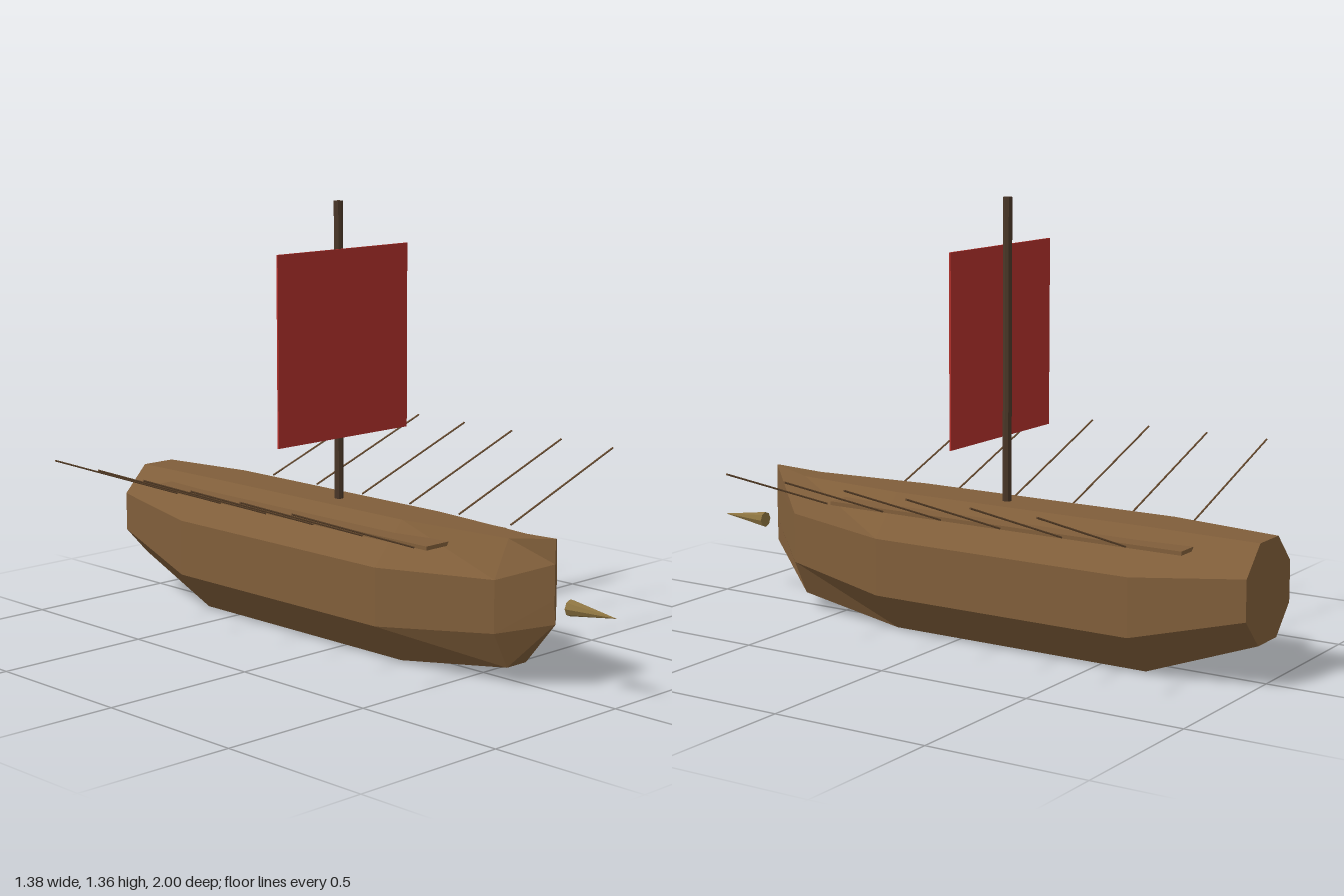
import * as THREE from 'three';

const mat = (name, color, extra = {}) => {
  const m = new THREE.MeshStandardMaterial({ color, flatShading: true, ...extra });
  m.name = name;
  return m;
};

// Eight-sided hull skinned through cross-sections, capped at both ends
function hullGeometry() {
  // z, centre height, half width, half height (stern to bow)
  const sections = [
    [-1, 0.275, 0.14, 0.15],
    [-0.65, 0.217, 0.195, 0.217],
    [0.24, 0.217, 0.195, 0.217],
    [0.63, 0.2425, 0.1, 0.1925],
    [0.775, 0.325, 0.004, 0.126],
  ];
  const sides = 8, pos = [], idx = [];
  const k = 1 / Math.cos(Math.PI / sides);
  for (const [z, cy, rx, ry] of sections) {
    for (let j = 0; j < sides; j++) {
      const a = ((j + 0.5) / sides) * Math.PI * 2;
      pos.push(Math.cos(a) * rx * k, cy + Math.sin(a) * ry * k, z);
    }
  }
  const last = (sections.length - 1) * sides;
  for (let j = 0; j < sides; j++) {
    const n = (j + 1) % sides;
    for (let r = 0; r < last; r += sides) {
      idx.push(r + j, r + n, r + sides + n, r + j, r + sides + n, r + sides + j);
    }
    if (j > 0 && j < sides - 1) {
      idx.push(0, n, j, last, last + j, last + n);
    }
  }
  const g = new THREE.BufferGeometry();
  g.setAttribute('position', new THREE.Float32BufferAttribute(pos, 3));
  g.setIndex(idx);
  const flat = g.toNonIndexed();
  flat.computeVertexNormals();
  return flat;
}

export function createModel() {
  const ship = new THREE.Group();
  ship.name = 'galley';
  const wood = mat('hull wood', 0x805e3a);
  const darkWood = mat('mast wood', 0x4a3728);
  const oarWood = mat('oar wood', 0x6b4e32);
  const bronze = mat('bronze', 0x8c7340);
  const cloth = mat('red sailcloth', 0xb0302a);

  const add = (name, geometry, material, x, y, z) => {
    const m = new THREE.Mesh(geometry, material);
    m.name = name;
    m.position.set(x, y, z);
    ship.add(m);
    return m;
  };

  add('hull', hullGeometry(), wood, 0, 0, 0);

  // Mast and square sail
  add('mast', new THREE.CylinderGeometry(0.014, 0.014, 0.95, 8), darkWood, 0, 0.885, -0.115);
  add('sail', new THREE.BoxGeometry(0.55, 0.585, 0.006), cloth, 0, 0.9225, -0.092);

  // Ram pointing forward, ahead of the bow
  const ram = add('ram', new THREE.ConeGeometry(0.025, 0.17, 8), bronze, 0, 0.26, 0.915);
  ram.rotation.x = Math.PI / 2;

  // Outriggers and oars, mirrored on both sides
  const outrigger = new THREE.BoxGeometry(0.093, 0.012, 1.24);
  const inner = new THREE.Vector2(0.21, 0.4), outer = new THREE.Vector2(0.69, 0.573);
  const span = outer.clone().sub(inner);
  const oar = new THREE.CylinderGeometry(0.003, 0.003, span.length(), 6);
  for (const side of [1, -1]) {
    const label = side > 0 ? 'left' : 'right';
    add(`${label}Outrigger`, outrigger, wood, side * 0.1265, 0.393, -0.19);
    for (let i = 0; i < 6; i++) {
      const o = add(`${label}Oar${i + 1}`, oar, oarWood,
        side * (inner.x + outer.x) / 2, (inner.y + outer.y) / 2, 0.415 - i * 0.213);
      o.rotation.z = side * (span.angle() - Math.PI / 2);
    }
  }
  return ship;
}
